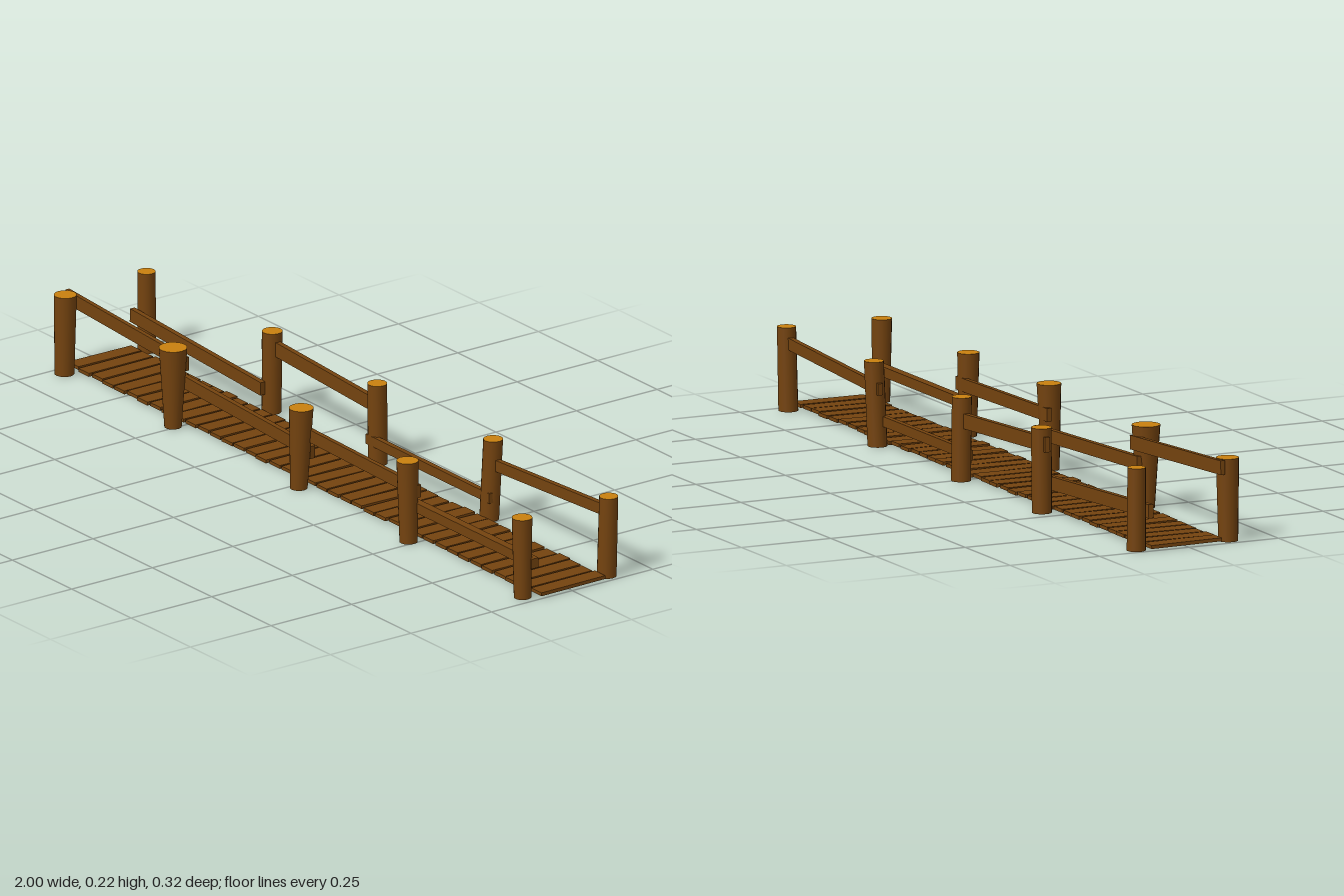
import * as THREE from 'three';

const wood = new THREE.MeshStandardMaterial({ color: 0x74430f });
wood.name = 'brown wood';
const cutWood = new THREE.MeshStandardMaterial({ color: 0xc8800f });
cutWood.name = 'pale cut wood';

// Small seeded generator, returns -1..1
function makeJitter(seed) {
  let s = seed;
  return () => {
    s = (s * 16807) % 2147483647;
    return (s / 2147483647) * 2 - 1;
  };
}

// Tapered, slightly leaning round post with a pale cut top
function makePost(name, [topX, topZ, topR, bottomX, bottomZ, bottomR, top]) {
  const bottom = 0.002;
  const h = top - bottom;
  const geo = new THREE.CylinderGeometry(topR, bottomR, h, 16);
  geo.translate(0, h / 2, 0);
  const p = geo.attributes.position;
  for (let i = 0; i < p.count; i++) {
    const t = p.getY(i) / h;
    p.setX(i, p.getX(i) + (topX - bottomX) * t);
    p.setZ(i, p.getZ(i) + (topZ - bottomZ) * t);
  }
  const post = new THREE.Mesh(geo, [wood, cutWood, wood]);
  post.position.set(bottomX, bottom, bottomZ);
  post.name = name;
  return post;
}

// Flat rail running along x between two heights
function makeRail(name, [x0, y0, x1, y1, z, height, depth]) {
  const length = Math.hypot(x1 - x0, y1 - y0);
  const rail = new THREE.Mesh(new THREE.BoxGeometry(length, height, depth), wood);
  rail.position.set((x0 + x1) / 2, (y0 + y1) / 2, z);
  rail.rotation.z = Math.atan2(y1 - y0, x1 - x0);
  rail.name = name;
  return rail;
}

export function createModel() {
  const model = new THREE.Group();
  model.name = 'woodenFootbridge';

  // Deck of loose planks
  const deck = new THREE.Group();
  deck.name = 'deck';
  const jitter = makeJitter(4217);
  const count = 40;
  const pitch = 2 / count;
  for (let i = 0; i < count; i++) {
    const plank = new THREE.Mesh(
      new THREE.BoxGeometry(0.044, 0.009, 0.2 + jitter() * 0.004), wood);
    plank.position.set(-1 + pitch * (i + 0.5), 0.0115 + jitter() * 0.001, -0.004 + jitter() * 0.004);
    plank.rotation.set(jitter() * 0.012, jitter() * 0.01, 0);
    plank.name = 'plank';
    deck.add(plank);
  }
  model.add(deck);

  // Posts: top x, z, radius, bottom x, z, radius, height
  const posts = new THREE.Group();
  posts.name = 'posts';
  [
    [-0.965, 0.125, 0.029, -0.967, 0.126, 0.025, 0.214],
    [-0.51, 0.126, 0.036, -0.51, 0.126, 0.022, 0.214],
    [0.03, 0.126, 0.031, 0.02, 0.126, 0.022, 0.22],
    [0.476, 0.125, 0.028, 0.482, 0.126, 0.023, 0.217],
    [0.96, 0.126, 0.026, 0.962, 0.126, 0.022, 0.215],
  ].forEach((p) => posts.add(makePost('frontPost', p)));
  [
    [-0.975, -0.134, 0.023, -0.973, -0.134, 0.024, 0.214],
    [-0.445, -0.134, 0.026, -0.448, -0.134, 0.025, 0.219],
    [-0.003, -0.134, 0.025, -0.003, -0.136, 0.025, 0.216],
    [0.484, -0.135, 0.025, 0.474, -0.13, 0.025, 0.218],
    [0.972, -0.134, 0.024, 0.966, -0.132, 0.025, 0.216],
  ].forEach((p) => posts.add(makePost('backPost', p)));
  model.add(posts);

  // Rails alternate high and low: x0, y0, x1, y1, z, height, depth
  const rails = new THREE.Group();
  rails.name = 'rails';
  [
    [-0.995, 0.195, -0.49, 0.168, 0.097, 0.036, 0.012],
    [-0.53, 0.122, 0.04, 0.097, 0.098, 0.034, 0.014],
    [-0.01, 0.147, 0.5, 0.137, 0.107, 0.034, 0.012],
    [0.45, 0.094, 0.985, 0.094, 0.104, 0.026, 0.022],
  ].forEach((r) => rails.add(makeRail('frontRail', r)));
  [
    [-0.99, 0.101, -0.44, 0.073, -0.101, 0.035, 0.014],
    [-0.48, 0.18, 0.02, 0.155, -0.134, 0.038, 0.014],
    [-0.02, 0.067, 0.5, 0.067, -0.118, 0.026, 0.014],
    [0.45, 0.15, 0.985, 0.177, -0.134, 0.03, 0.014],
  ].forEach((r) => rails.add(makeRail('backRail', r)));
  model.add(rails);

  return model;
}
